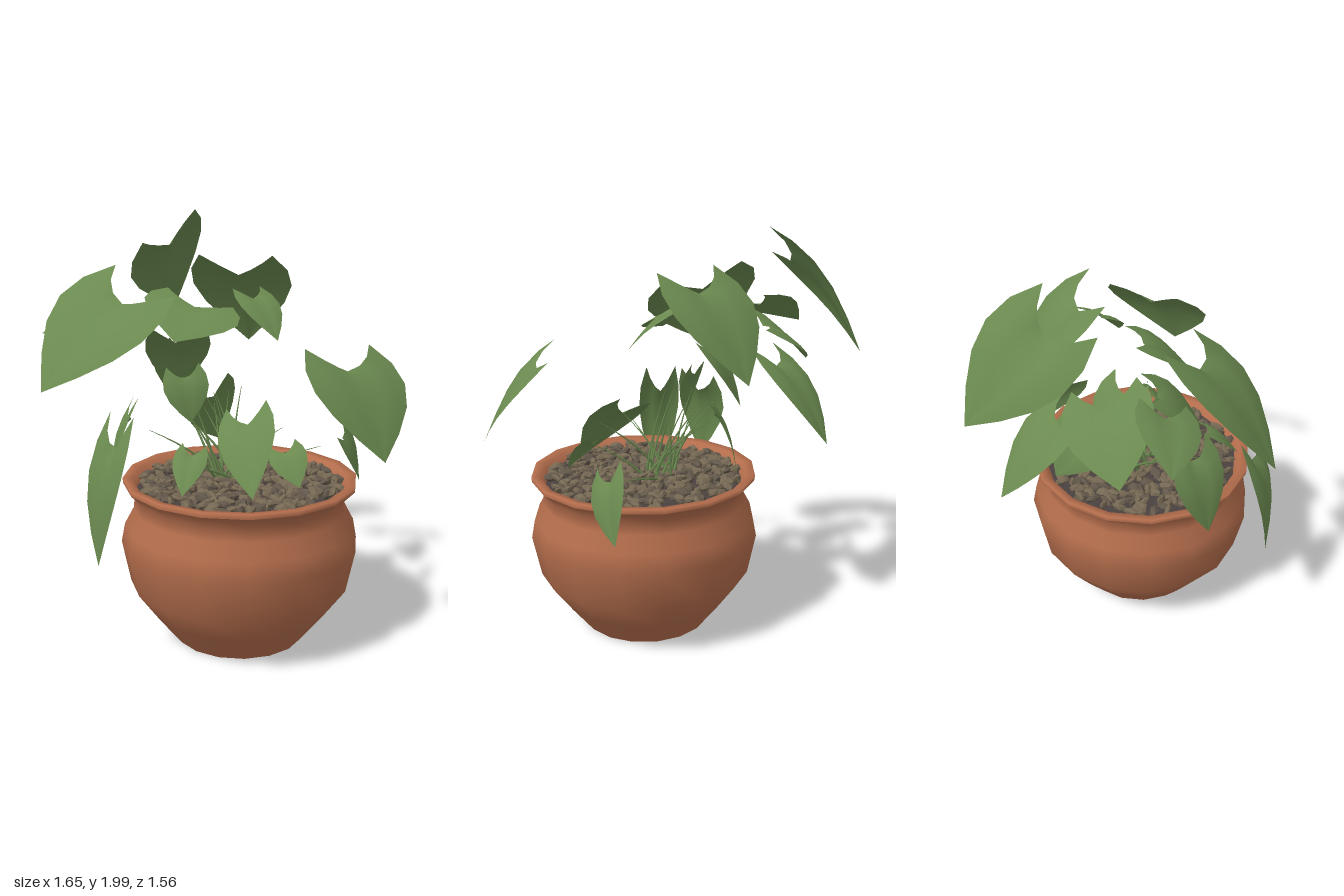
import * as THREE from 'three';
import { mergeGeometries } from 'three/addons/utils/BufferGeometryUtils.js';

const UP = new THREE.Vector3(0, 1, 0);

// seeded random numbers
function makeRandom(seed) {
  return () => {
    seed = (seed * 1664525 + 1013904223) % 4294967296;
    return seed / 4294967296;
  };
}

// Each leaf: stalk end x y z, tip x y z, half width, roll about the midrib
const LEAVES = [
  // high leaves at the back
  [-0.2, 1.82, -0.4, -0.17, 1.46, -0.78, 0.21, 0.7],
  [0.12, 1.7, -0.11, 0.2, 1.33, -0.42, 0.225, 0],
  [0.18, 1.6, 0, 0.28, 1.43, 0.18, 0.1, 0],
  [-0.18, 1.33, -0.35, -0.16, 1, -0.64, 0.145, 0.1],
  // leaves reaching to the right side
  [-0.34, 1.48, -0.19, -0.64, 1.27, -0.28, 0.19, -0.35],
  [-0.58, 1.53, -0.04, -0.83, 1.42, -0.14, 0.14, 0.4],
  [-0.43, 1.61, 0.21, -0.79, 1.25, 0.4, 0.27, 0.35],
  [-0.4, 1.08, 0.22, -0.5, 0.7, 0.27, 0.12, -0.4],
  [-0.46, 1.02, 0.5, -0.55, 0.5, 0.58, 0.1, 0],
  // leaf reaching to the left and one hanging over the rim
  [0.55, 1.35, 0.5, 0.68, 1, 0.73, 0.25, 0.1],
  [0.62, 0.92, 0.04, 0.73, 0.67, -0.06, 0.11, -1],
  // leaves in the middle and low at the front
  [-0.1, 1.58, 0.11, -0.2, 1.45, 0.3, 0.21, 0.3],
  [-0.15, 1.24, 0.08, -0.12, 1.03, 0.12, 0.1, -0.5],
  [-0.14, 1.36, 0, -0.2, 1.1, -0.15, 0.13, 0],
  [0, 1.1, -0.12, 0.05, 0.84, -0.28, 0.14, 0.9],
  [0.13, 1.07, 0.32, 0.13, 0.8, 0.59, 0.125, -0.4],
  [0.3, 0.95, 0.38, 0.35, 0.82, 0.5, 0.08, -0.4],
  [-0.13, 0.97, 0.47, -0.18, 0.83, 0.62, 0.07, 0.1],
];

// Heart-shaped leaf: the width follows a sine and the lobes reach back past the stalk
function leafGeometry(base, tip, halfWidth, roll) {
  const axis = tip.clone().sub(base), size = axis.length(), dir = axis.clone().normalize();
  const side = dir.clone().cross(UP).normalize().applyAxisAngle(dir, -roll);
  const normal = side.clone().cross(dir);
  const rows = 5, half = 3, cols = 2 * half + 1, lobe = 0.28, pos = [], index = [];
  for (let r = 0; r <= rows; r++) {
    const s = r / rows, mid = s ** 1.5, edge = s - lobe * (1 - s);
    const width = 1.1 * halfWidth * Math.sin(Math.PI * (0.25 + 0.75 * s));
    for (let c = -half; c <= half; c++) {
      const t = Math.abs(c) / half;
      const bulge = 0.09 * Math.sin(Math.PI * s) + 0.05 * Math.sin(Math.PI * t) * (1 - s);
      const v = base.clone().addScaledVector(axis, mid + (edge - mid) * t * t)
        .addScaledVector(side, width * c / half)
        .addScaledVector(normal, bulge * size);
      pos.push(v.x, v.y, v.z);
      if (r && c < half) {
        const k = r * cols + c + half, j = k - cols;
        index.push(j, j + 1, k, j + 1, k + 1, k);
      }
    }
  }
  const g = new THREE.BufferGeometry();
  g.setAttribute('position', new THREE.Float32BufferAttribute(pos, 3));
  g.setIndex(index);
  g.computeVertexNormals();
  return g;
}

// Thin shoot that tapers to a point as it grows towards its leaf
function shootGeometry(from, to) {
  const bend = from.clone().lerp(to, 0.35);
  bend.y = THREE.MathUtils.lerp(from.y, to.y, 0.55);
  const curve = new THREE.QuadraticBezierCurve3(from, bend, to);
  const steps = 6, sides = 4;
  const g = new THREE.TubeGeometry(curve, steps, 0.009, sides);
  const pos = g.attributes.position, v = new THREE.Vector3();
  for (let i = 0; i < pos.count; i++) {
    const t = Math.floor(i / (sides + 1)) / steps, centre = curve.getPointAt(t);
    v.fromBufferAttribute(pos, i).sub(centre).multiplyScalar(1 - 0.9 * t).add(centre);
    pos.setXYZ(i, v.x, v.y, v.z);
  }
  return g;
}

export function createModel() {
  const group = new THREE.Group();
  const material = (name, color, extra = {}) => {
    const m = new THREE.MeshStandardMaterial({ color, ...extra });
    m.name = name;
    return m;
  };
  const terracotta = material('terracotta', 0xb36d4c);
  const leafGreen = material('leaf green', 0x6b8a50, { side: THREE.DoubleSide });
  const soilBrown = material('soil brown', 0x4a4140);
  const pebbleBrown = material('pebble brown', 0x756853, { flatShading: true });
  const pebbleDark = material('dark pebble', 0x62574a, { flatShading: true });
  const add = (name, geometry, mat, parent) => {
    const mesh = new THREE.Mesh(geometry, mat);
    mesh.name = name;
    parent.add(mesh);
  };

  // Pot
  const pot = new THREE.Group();
  pot.name = 'pot';
  pot.position.set(0.105, 0, 0.22);
  group.add(pot);
  const lathe = (name, mat, ...points) =>
    add(name, new THREE.LatheGeometry(points.map((p) => new THREE.Vector2(...p)), 16), mat, pot);
  lathe('potBase', terracotta, [0, 0.008], [0.308, 0.005]);
  lathe('potBody', terracotta, [0.308, 0.005], [0.42, 0.145], [0.52, 0.28], [0.562, 0.48],
    [0.545, 0.57], [0.502, 0.65], [0.495, 0.715], [0.55, 0.77]);
  lathe('potRim', terracotta, [0.55, 0.77], [0.552, 0.795], [0.51, 0.79], [0.482, 0.745]);
  lathe('soil', soilBrown, [0.487, 0.75], [0, 0.76]);

  // Pebbles scattered evenly over the soil in a spiral
  const random = makeRandom(7), brownPile = [], darkPile = [], count = 400;
  for (let i = 0; i < count; i++) {
    const r = 0.465 * Math.sqrt((i + 0.5) / count), a = i * 2.4 + random() * 0.3;
    const g = new THREE.IcosahedronGeometry(1, 0);
    g.scale(0.034 + random() * 0.012, 0.014 + random() * 0.006, 0.019 + random() * 0.007);
    g.rotateX(random() * 3);
    g.rotateZ((random() - 0.5) * 0.8);
    g.rotateY(random() * 6.28);
    g.translate(r * Math.cos(a), 0.762 + random() * 0.018, r * Math.sin(a));
    (i % 3 ? brownPile : darkPile).push(g);
  }
  add('pebbles', mergeGeometries(brownPile), pebbleBrown, pot);
  add('darkPebbles', mergeGeometries(darkPile), pebbleDark, pot);

  // Leaves, with a tuft of short shoots leaning towards them
  const plant = new THREE.Group();
  plant.name = 'plant';
  group.add(plant);
  LEAVES.forEach(([x, y, z, tipX, tipY, tipZ, halfWidth, roll], i) => {
    const base = new THREE.Vector3(x, y, z), tip = new THREE.Vector3(tipX, tipY, tipZ);
    add('leaf', leafGeometry(base, tip, halfWidth, roll), leafGreen, plant);
    const a = i * 2.4;
    const root = new THREE.Vector3(0.06 + 0.06 * Math.cos(a), 0.75, 0.16 + 0.07 * Math.sin(a));
    const reach = Math.min(1, 0.45 / root.distanceTo(base));
    add('shoot', shootGeometry(root, root.clone().lerp(base, reach)), leafGreen, plant);
  });
  return group;
}
